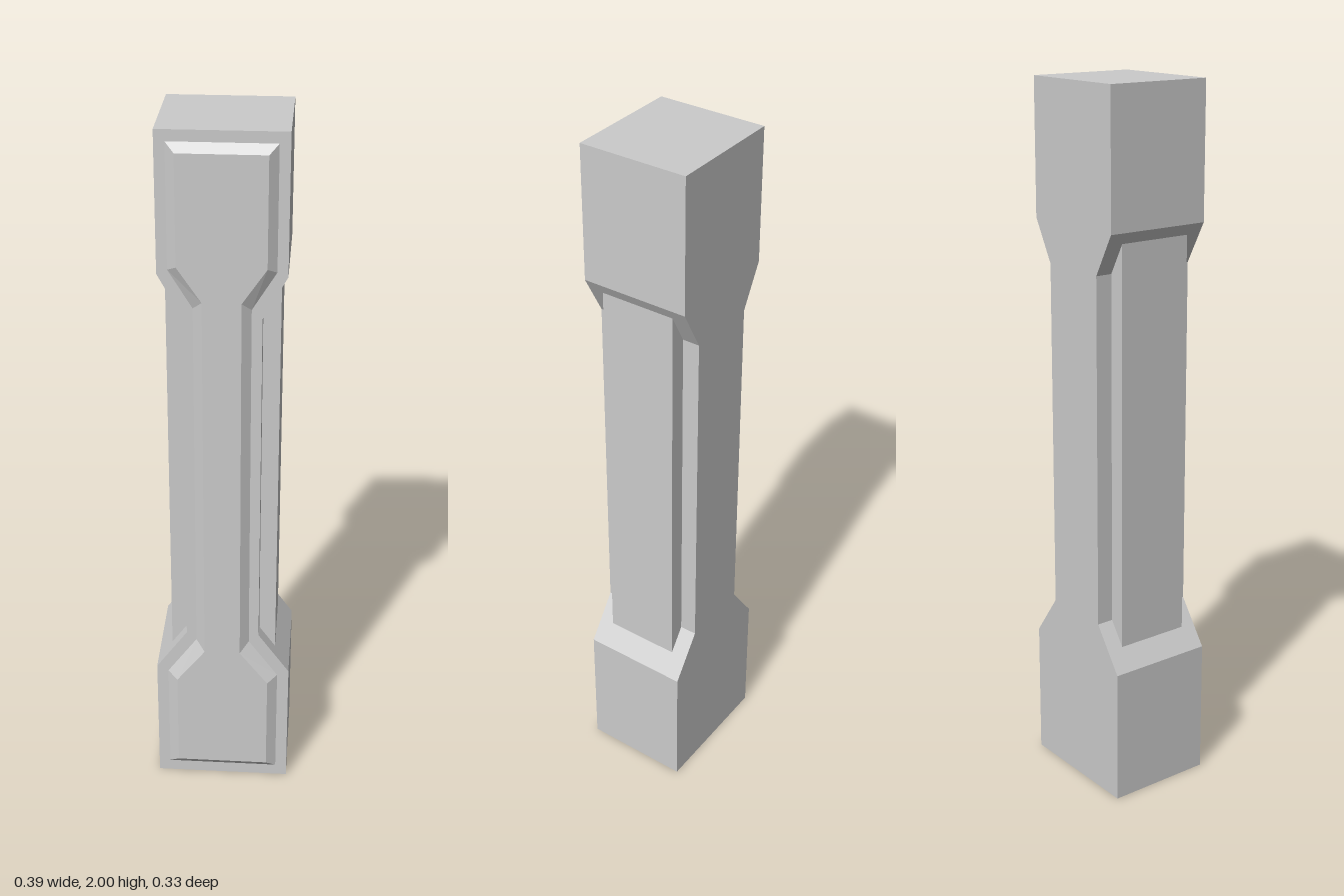
import * as THREE from 'three';

const material = new THREE.MeshStandardMaterial({ color: 0xcccccc, flatShading: true, side: THREE.DoubleSide });

// Mirrors a right-hand profile (bottom to top) into a closed counter-clockwise outline
function mirrorOutline(half) {
  const left = half.map(([x, y]) => [-x, y]).reverse();
  return [...half, ...left].map(([x, y]) => new THREE.Vector2(x, y));
}

function addMesh(group, name, geometry) {
  const mesh = new THREE.Mesh(geometry, material);
  mesh.name = name;
  group.add(mesh);
  return mesh;
}

// Sloped band joining two outlines with equal point counts
function bevelBand(outer, inner, z0, z1) {
  const positions = [];
  outer.forEach((a, i) => {
    const j = (i + 1) % outer.length;
    const b = outer[j], c = inner[j], d = inner[i];
    positions.push(a.x, a.y, z0, b.x, b.y, z0, c.x, c.y, z1);
    positions.push(a.x, a.y, z0, c.x, c.y, z1, d.x, d.y, z1);
  });
  const geometry = new THREE.BufferGeometry();
  geometry.setAttribute('position', new THREE.Float32BufferAttribute(positions, 3));
  geometry.computeVertexNormals();
  return geometry;
}

export function createModel() {
  const group = new THREE.Group();
  group.name = 'pillar';
  const back = -0.165, front = 0.144, panelFront = 0.165;

  // Body: wide foot, narrow waist, wide head
  const body = mirrorOutline([
    [0.193, 0], [0.193, 0.39], [0.104, 0.515], [0.104, 1.508], [0.168, 1.625], [0.168, 2],
  ]);
  const bodyGeometry = new THREE.ExtrudeGeometry(new THREE.Shape(body), { depth: front - back, bevelEnabled: false });
  addMesh(group, 'body', bodyGeometry.translate(0, 0, back));

  // Raised front panel with sloped rim
  const rim = mirrorOutline([
    [0.16, 0.035], [0.16, 0.375], [0.076, 0.492], [0.076, 1.533], [0.14, 1.637], [0.14, 1.97],
  ]);
  const face = mirrorOutline([
    [0.132, 0.06], [0.132, 0.358], [0.051, 0.463], [0.051, 1.557], [0.116, 1.652], [0.116, 1.947],
  ]);
  addMesh(group, 'panelRim', bevelBand(rim, face, front, panelFront));
  addMesh(group, 'panelFace', new THREE.ShapeGeometry(new THREE.Shape(face))).position.z = panelFront;

  // Slabs standing out from both sides of the waist
  for (const [name, side] of [['leftSlab', 1], ['rightSlab', -1]]) {
    const slab = addMesh(group, name, new THREE.BoxGeometry(0.1, 1.15, 0.217));
    slab.position.set(side * 0.101, 1.023, -0.0075);
  }
  return group;
}
